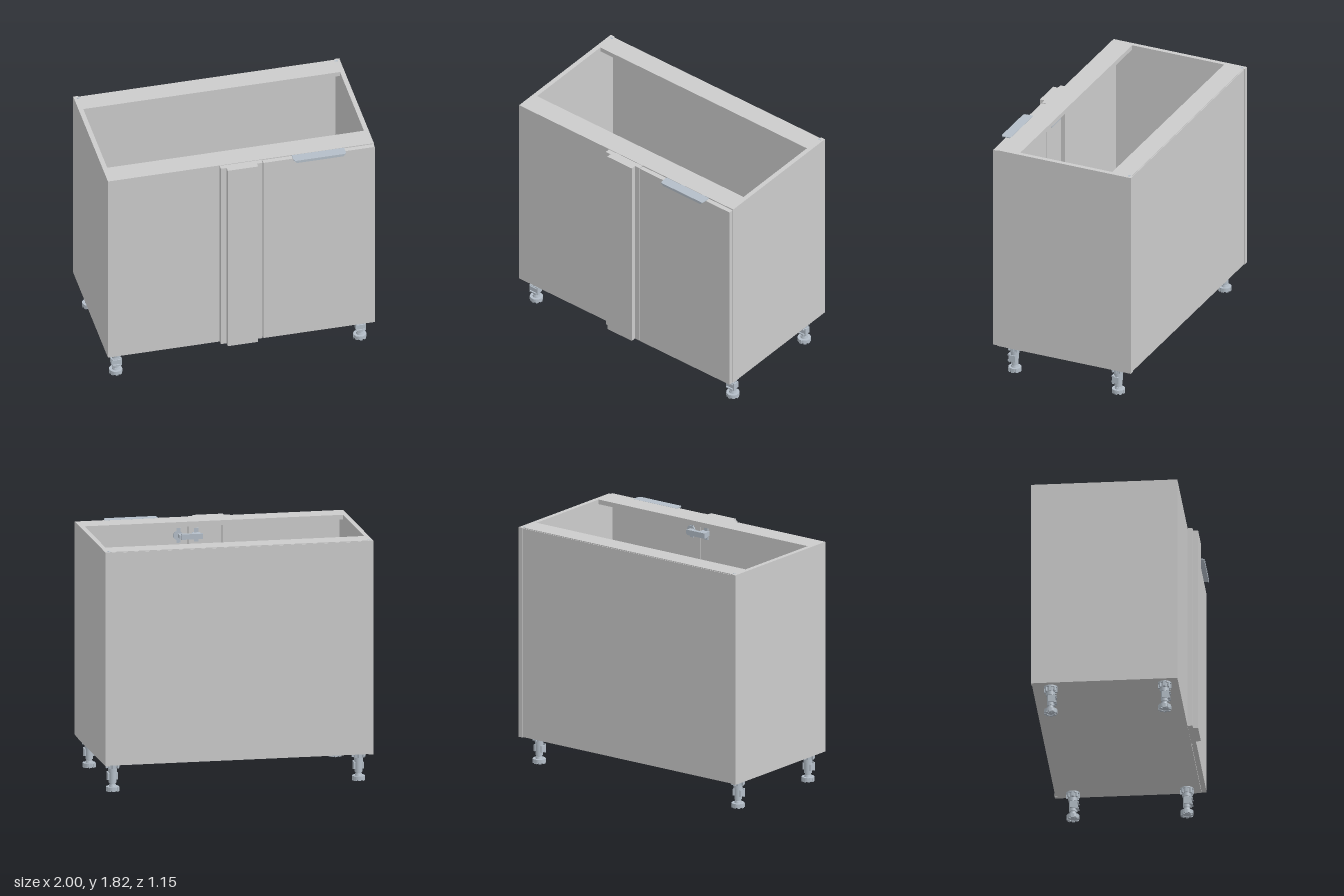
import * as THREE from 'three';

const board = new THREE.MeshStandardMaterial({ color: 0xcccccc });
const metal = new THREE.MeshStandardMaterial({ color: 0xb4bec8 });

function add(parent, name, geometry, material, x = 0, y = 0, z = 0) {
  const mesh = new THREE.Mesh(geometry, material);
  mesh.name = name;
  mesh.position.set(x, y, z);
  parent.add(mesh);
  return mesh;
}

// Box given by its limits on each axis
function slab(parent, name, [x0, x1], [y0, y1], [z0, z1], material = board) {
  return add(parent, name, new THREE.BoxGeometry(x1 - x0, y1 - y0, z1 - z0), material,
    (x0 + x1) / 2, (y0 + y1) / 2, (z0 + z1) / 2);
}

function drum(parent, name, r0, r1, y0, y1, sides = 24) {
  return add(parent, name, new THREE.CylinderGeometry(r1, r0, y1 - y0, sides), metal, 0, (y0 + y1) / 2, 0);
}

// Adjustable leg with ribbed socket, stem, plinth clip and notched foot
function makeLeg(x, z) {
  const leg = new THREE.Group();
  leg.name = 'leg';
  drum(leg, 'footDisc', 0.048, 0.048, 0.006, 0.034);
  drum(leg, 'footHub', 0.028, 0.024, 0.034, 0.05);
  drum(leg, 'screw', 0.022, 0.022, 0.04, 0.09);
  drum(leg, 'stem', 0.028, 0.028, 0.062, 0.18);
  drum(leg, 'collar', 0.033, 0.033, 0.145, 0.172);
  drum(leg, 'socket', 0.036, 0.04, 0.17, 0.205);
  drum(leg, 'socketFlange', 0.05, 0.05, 0.204, 0.216);
  for (let i = 0; i < 8; i++) {
    const a = (i * Math.PI) / 4;
    const rib = add(leg, 'socketRib', new THREE.BoxGeometry(0.016, 0.036, 0.014), metal,
      Math.cos(a) * 0.042, 0.19, Math.sin(a) * 0.042);
    rib.rotation.y = -a;
    const pad = add(leg, 'footPad', new THREE.BoxGeometry(0.022, 0.03, 0.02), metal,
      Math.cos(a) * 0.037, 0.015, Math.sin(a) * 0.037);
    pad.rotation.y = -a;
  }
  slab(leg, 'clipPlate', [-0.038, 0.038], [0.078, 0.142], [0.022, 0.034], metal);
  for (const s of [-1, 1]) {
    slab(leg, 'clipJaw', [s * 0.032 - 0.005, s * 0.032 + 0.005], [0.085, 0.135], [-0.018, 0.024], metal);
    slab(leg, 'clipHook', [-0.03, 0.03], [0.11 + s * 0.022 - 0.005, 0.11 + s * 0.022 + 0.005], [0.034, 0.044], metal);
  }
  leg.position.set(x, 0, z);
  return leg;
}

// Concealed hinge between the door and the filler
function makeHinge(y) {
  const hinge = new THREE.Group();
  hinge.name = 'hinge';
  const cup = add(hinge, 'hingeCup', new THREE.CylinderGeometry(0.035, 0.035, 0.016, 24), metal, 0.235, 0, 0.496);
  cup.rotation.x = Math.PI / 2;
  slab(hinge, 'cupFlange', [0.215, 0.245], [-0.055, 0.055], [0.492, 0.5], metal);
  slab(hinge, 'hingeLink', [0.2, 0.235], [-0.014, 0.014], [0.43, 0.496], metal);
  slab(hinge, 'hingeArm', [0.06, 0.22], [-0.02, 0.02], [0.425, 0.455], metal);
  slab(hinge, 'mountBlock', [0.07, 0.13], [-0.018, 0.018], [0.45, 0.5], metal);
  slab(hinge, 'mountPlate', [0.08, 0.115], [-0.05, 0.05], [0.49, 0.5], metal);
  hinge.position.y = y;
  return hinge;
}

// Edge pull: top plate with rounded front corners and a lip turned down
function makeHandle() {
  const handle = new THREE.Group();
  handle.name = 'handle';
  const plate = new THREE.Shape();
  plate.moveTo(-0.197, -0.5);
  plate.lineTo(0.197, -0.5);
  plate.lineTo(0.197, -0.555);
  plate.quadraticCurveTo(0.195, -0.576, 0.175, -0.576);
  plate.lineTo(-0.175, -0.576);
  plate.quadraticCurveTo(-0.195, -0.576, -0.197, -0.555);
  const top = add(handle, 'handlePlate',
    new THREE.ExtrudeGeometry(plate, { depth: 0.006, bevelEnabled: false }), metal, 0, 1.809, 0);
  top.rotation.x = -Math.PI / 2;
  const lip = new THREE.Shape([[-0.192, 1.811], [-0.175, 1.793], [0.175, 1.793], [0.192, 1.811]]
    .map(([x, y]) => new THREE.Vector2(x, y)));
  add(handle, 'handleLip', new THREE.ExtrudeGeometry(lip, { depth: 0.007, bevelEnabled: false }), metal, 0, 0, 0.567);
  handle.position.x = 0.578;
  return handle;
}

export function createModel() {
  const model = new THREE.Group();
  model.name = 'cornerBaseCabinet';
  const bottom = 0.215, top = 1.815, back = -0.577, front = 0.498, inner = 0.965;

  // Carcass
  const carcass = new THREE.Group();
  carcass.name = 'carcass';
  model.add(carcass);
  for (const s of [-1, 1]) {
    const xs = s < 0 ? [-1, -inner] : [inner, 1];
    slab(carcass, 'sidePanel', xs, [bottom, top], [back, front]);
  }
  slab(carcass, 'bottomPanel', [-inner, inner], [bottom, bottom + 0.035], [-0.556, front]);
  slab(carcass, 'backPanel', [-inner, inner], [bottom + 0.003, top - 0.006], [-0.572, -0.556]);
  slab(carcass, 'backRail', [-inner, inner], [top - 0.035, top], [-0.567, -0.41]);
  slab(carcass, 'frontRail', [-inner, inner], [top - 0.035, top], [0.332, front]);
  slab(carcass, 'blindPanel', [-inner, -0.09], [bottom + 0.035, top - 0.035], [0.463, front]);

  // Small caps at the back corners
  for (const x of [-0.97, 0.97]) {
    const cap = add(carcass, 'cornerCap', new THREE.CylinderGeometry(0.013, 0.013, 0.003, 16), metal, x, top, -0.549);
    cap.scale.z = 0.55;
  }

  // Corner filler and its raised post
  slab(model, 'fillerBoard', [-0.16, 0.154], [bottom + 0.003, top - 0.004], [front, 0.535]);
  slab(model, 'fillerPost', [-0.117, 0.112], [bottom + 0.003, top - 0.004], [0.535, 0.572]);

  // Door with its handle and hinges
  slab(model, 'door', [0.16, 0.997], [bottom + 0.003, top - 0.006], [0.5, 0.536]);
  model.add(makeHandle(), makeHinge(1.68), makeHinge(0.36));

  for (const x of [-0.918, 0.918]) for (const z of [0.398, -0.438]) model.add(makeLeg(x, z));
  return model;
}
